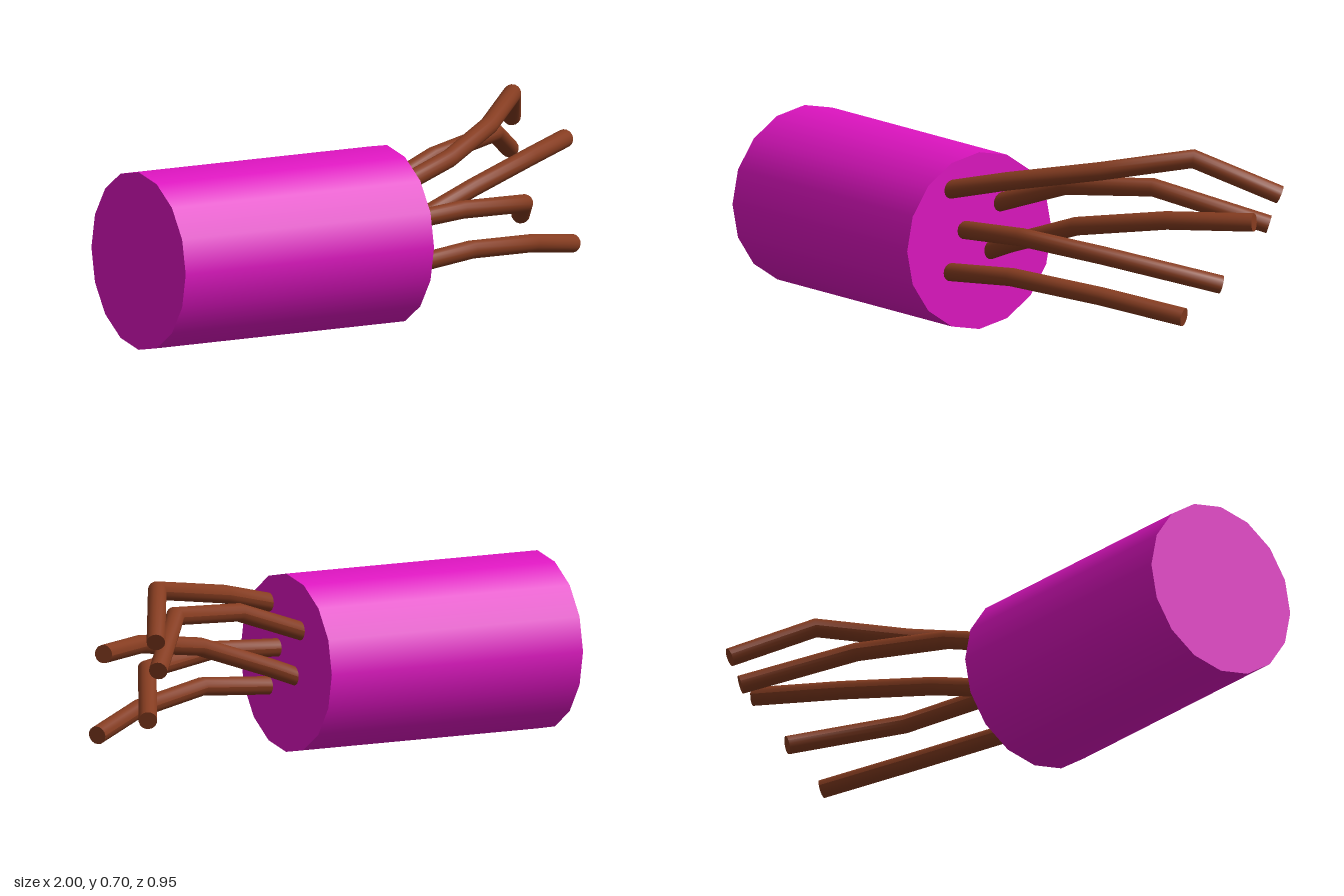
import * as THREE from 'three';

const RADIUS = 0.032;

// Round rod through a list of points, with mitred bends and flat capped ends
function bentRod(points, material) {
  const p = points.map((a) => new THREE.Vector3(...a));
  const n = p.length;
  const dirs = p.slice(1).map((q, i) => q.clone().sub(p[i]).normalize());
  const v = new THREE.Vector3().crossVectors(new THREE.Vector3(0, 1, 0), dirs[0]).normalize();
  const u = new THREE.Vector3().crossVectors(dirs[0], v);

  const geo = new THREE.CylinderGeometry(RADIUS, RADIUS, 1, 16, n - 1);
  const pos = geo.attributes.position;
  for (let i = 0; i < pos.count; i++) {
    const row = Math.round((pos.getY(i) + 0.5) * (n - 1));
    const w = p[0].clone().addScaledVector(u, pos.getX(i)).addScaledVector(v, pos.getZ(i));
    // slide along each segment until the mitre plane at its far end
    for (let k = 1; k <= row; k++) {
      const d = dirs[k - 1];
      const plane = d.clone().add(dirs[k] || d).normalize();
      w.addScaledVector(d, p[k].clone().sub(w).dot(plane) / d.dot(plane));
    }
    pos.setXYZ(i, w.x, w.y, w.z);
  }
  geo.computeVertexNormals();
  return new THREE.Mesh(geo, material);
}

export function createModel() {
  const model = new THREE.Group();

  // Sixteen-sided drum lying along x
  const drum = new THREE.Mesh(
    new THREE.CylinderGeometry(0.31, 0.31, 1, 16),
    new THREE.MeshStandardMaterial({ color: 0xdd14c0 })
  );
  drum.name = 'drum';
  drum.rotation.z = Math.PI / 2;
  drum.position.set(-0.5, 0.31, 0.17);
  model.add(drum);

  // Five bent tendrils rooted in the drum's end face
  const brown = new THREE.MeshStandardMaterial({ color: 0x853c20 });
  const tendrils = {
    topTendril: [[-0.02, 0.5, 0.293], [0.22, 0.56, 0.22], [0.5, 0.618, 0.023], [0.73, 0.672, -0.2], [0.885, 0.54, -0.455]],
    upperTendril: [[-0.02, 0.428, 0.08], [0.28, 0.53, 0.015], [0.61, 0.562, -0.118], [0.86, 0.435, -0.428]],
    middleTendril: [[-0.02, 0.265, 0.118], [0.1, 0.31, 0.112], [0.41, 0.415, 0.062], [0.73, 0.47, -0.085], [0.985, 0.482, -0.27]],
    lowerTendril: [[-0.02, 0.354, 0.234], [0.28, 0.372, 0.2], [0.6, 0.347, 0.09], [0.805, 0.235, -0.265]],
    bottomTendril: [[-0.02, 0.213, 0.294], [0.29, 0.24, 0.25], [0.62, 0.21, 0.112], [0.88, 0.16, -0.048]],
  };
  for (const [name, points] of Object.entries(tendrils)) {
    const rod = bentRod(points, brown);
    rod.name = name;
    model.add(rod);
  }
  return model;
}
